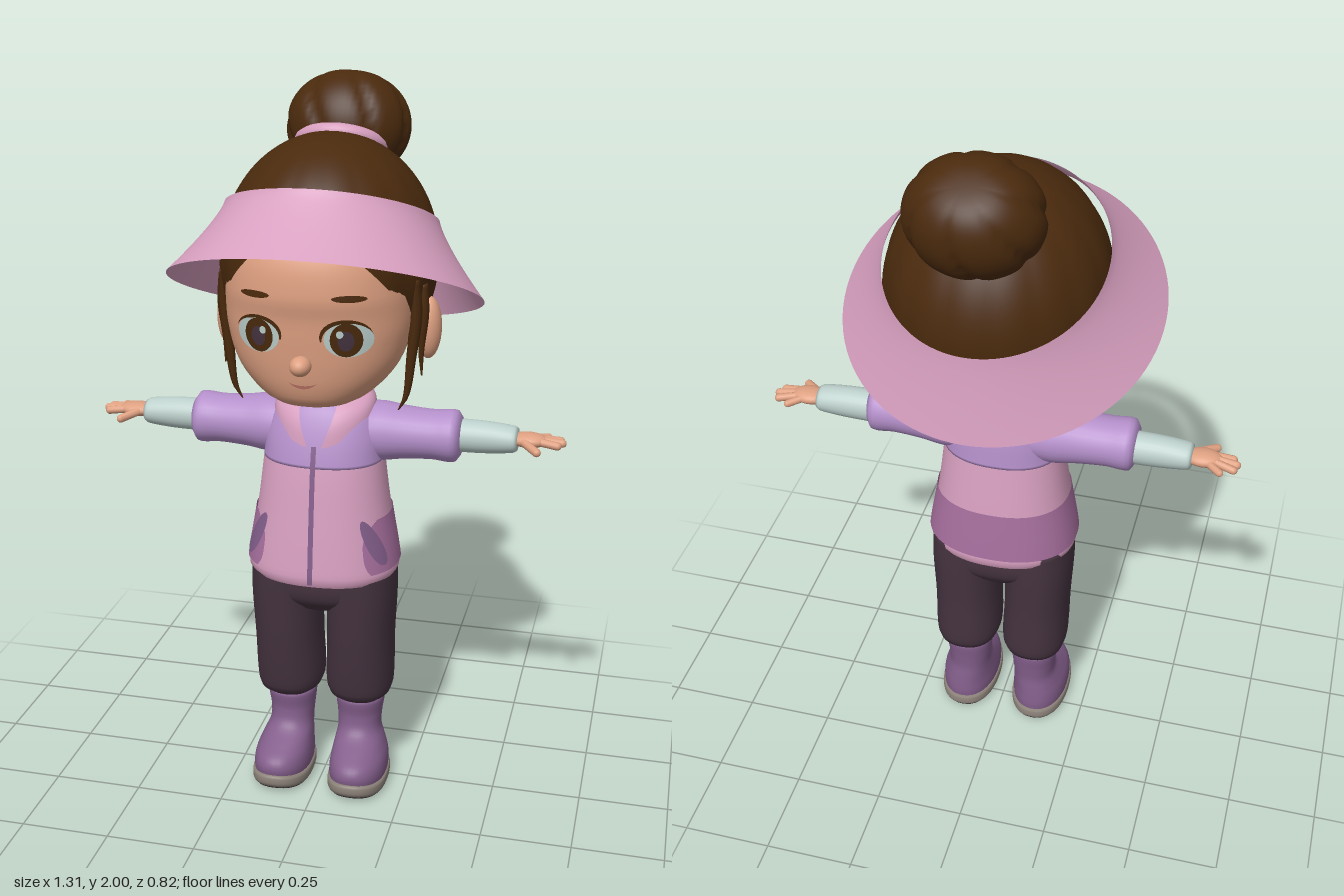
import * as THREE from 'three';
import { mergeVertices } from 'three/addons/utils/BufferGeometryUtils.js';

const { sin, cos, PI, abs, sign, min, max, pow } = Math;

function material(name, color, side = THREE.FrontSide) {
  const m = new THREE.MeshStandardMaterial({ color, side });
  m.name = name;
  return m;
}

// Smooth surface from a rule f(u, v, row) -> [x, y, z]; u runs right and v runs up.
function grid(nu, nv, f) {
  const pos = [], idx = [];
  for (let j = 0; j <= nv; j++)
    for (let i = 0; i <= nu; i++) pos.push(...f(i / nu, j / nv, j));
  for (let j = 0; j < nv; j++)
    for (let i = 0; i < nu; i++) {
      const a = j * (nu + 1) + i, b = a + 1, c = a + nu + 1, d = c + 1;
      idx.push(a, b, d, a, d, c);
    }
  let g = new THREE.BufferGeometry();
  g.setAttribute('position', new THREE.Float32BufferAttribute(pos, 3));
  g.setIndex(idx);
  g = mergeVertices(g, 1e-5);
  g.computeVertexNormals();
  return g;
}

// Smooth interpolation of table rows keyed by their first number.
function interp(rows, t) {
  const n = rows.length - 1;
  t = min(max(t, rows[0][0]), rows[n][0]);
  let i = 0;
  while (i < n - 1 && t > rows[i + 1][0]) i++;
  const h = rows[i + 1][0] - rows[i][0], s = (t - rows[i][0]) / h;
  const slope = (k, c) => {
    const p = rows[max(k - 1, 0)], q = rows[min(k + 1, n)];
    return (q[c] - p[c]) / (q[0] - p[0]);
  };
  return rows[0].map((_, c) => c === 0 ? t :
    rows[i][c] * (1 + 2 * s) * (1 - s) ** 2 + rows[i + 1][c] * s * s * (3 - 2 * s) +
    h * (slope(i, c) * s * (1 - s) ** 2 + slope(i + 1, c) * s * s * (s - 1)));
}

// Point on a cross-section row [y, halfWidth, frontZ, backZ, centreX]; angle 0 is the front.
function section([y, w, f, b, cx = 0], a, grow, n) {
  const zc = (f + b) / 2, p = (v) => sign(v) * pow(abs(v), 2 / n);
  return [cx + (w + grow) * p(sin(a)), y, zc + ((f - b) / 2 + grow) * p(cos(a))];
}

function loft(rows, { n = 2, seg = 40, rings = 24, grow = 0, y0 = rows[0][0], y1 = rows.at(-1)[0], caps = true } = {}) {
  const nv = rings + 2;
  return grid(seg, nv, (u, v, k) => {
    const r = interp(rows, y0 + (y1 - y0) * min(max((k - 1) / rings, 0), 1));
    if (caps && (k === 0 || k === nv)) return [r[4] ?? 0, r[0], (r[2] + r[3]) / 2];
    return section(r, u * 2 * PI, grow, n);
  });
}

function onFront(rows, x, y, grow, n) {
  const r = interp(rows, y);
  const s = pow(min(1, abs(x) / (r[1] + grow)), n / 2);
  return section(r, Math.asin(s) * sign(x), grow, n);
}

// Thin oval laid on the front of a lofted body.
const oval = (rows, n, x, y, rx, ry, grow, lean = 0) => grid(28, 5, (u, v) => {
  const dx = cos(u * 2 * PI) * rx * (1 - v), dy = sin(u * 2 * PI) * ry * (1 - v);
  return onFront(rows, x + dx + lean * dy, y + dy, grow, n);
});

function mirrored(geo) {
  const g = geo.clone().scale(-1, 1, 1), ix = g.index.array;
  for (let i = 0; i < ix.length; i += 3) [ix[i], ix[i + 1]] = [ix[i + 1], ix[i]];
  g.computeVertexNormals();
  return g;
}

const ball = (x, y, z, rx, ry, rz) => new THREE.SphereGeometry(1, 24, 16).scale(rx, ry, rz).translate(x, y, z);

const FACE = [[1.183, .05, .17, .03], [1.2, .115, .215, -.02], [1.24, .172, .24, -.08], [1.3, .218, .254, -.12],
  [1.38, .243, .263, -.15], [1.44, .25, .268, -.17], [1.5, .25, .278, -.2], [1.6, .235, .26, -.22], [1.7, .18, .19, -.2]];
const JACKET = [[.665, .2, .175, -.15], [.68, .21, .182, -.157], [.72, .207, .18, -.155], [.85, .185, .166, -.142],
  [1, .166, .146, -.124], [1.08, .158, .126, -.115], [1.14, .13, .1, -.1], [1.175, .08, .07, -.08]];

export function createModel() {
  const root = new THREE.Group();
  root.name = 'girl';
  const D = THREE.DoubleSide;
  const skin = material('skin', 0xdea081), hair = material('hair brown', 0x4a2a0d, D), pink = material('pink', 0xd8a0c0, D),
    lavender = material('lavender', 0xb590cb, D), orchid = material('orchid', 0xa8709f, D), purple = material('boot purple', 0x845f8c),
    plum = material('dark plum', 0x45333f), sole = material('sole grey', 0x8f857c), pale = material('pale teal', 0xbccfcb),
    lip = material('lip', 0xbd7466);

  const add = (name, geo, mat) => {
    const m = new THREE.Mesh(geo, mat);
    m.name = name;
    root.add(m);
  };
  const both = (name, geo, mat) => {
    add(name + 'Left', geo, mat);
    add(name + 'Right', mirrored(geo), mat);
  };

  // Head and face
  add('head', loft(FACE, { n: 2.2, seg: 56, rings: 36 }), skin);
  add('nose', ball(0, 1.325, .272, .028, .026, .034), skin);
  both('ear', ball(.275, 1.365, -.025, .035, .085, .042).rotateZ(0), skin);
  const mark = (...p) => oval(FACE, 2.2, ...p);
  both('eyeWhite', mark(.118, 1.395, .06, .047, .003), pale);
  both('iris', mark(.114, 1.395, .04, .045, .006), hair);
  both('pupil', mark(.114, 1.393, .02, .026, .009), plum);
  both('eyeGlint', mark(.1, 1.412, .009, .01, .012), pale);
  both('brow', mark(.122, 1.503, .042, .009, .004, -.5), hair);
  both('lash', grid(16, 2, (u, v) => {
    const a = PI * (1.02 - u), r = 1 + v * .22 * sin(PI * min(1, u + .1));
    return onFront(FACE, .118 + .063 * r * cos(a), 1.395 + .046 * r * sin(a), .01, 2.2);
  }), hair);
  add('mouth', grid(14, 2, (u, v) => {
    const t = u * 2 - 1;
    return onFront(FACE, t * .038, 1.262 + .012 * t * t + (v - .5) * .009 * (1 - t * t), .004, 2.2);
  }), lip);

  // Hair cap: the lower edge rises over the forehead and closes under the back
  const hairline = [[0, .37], [29, .45], [50, .55], [68, .63], [92, .65], [108, .85], [125, 1], [180, 1]];
  add('hairCap', grid(120, 36, (u, v) => {
    const deg = u * 360, a = u * 2 * PI;
    const th = PI * min(1, interp(hairline, min(deg, 360 - deg))[1]) * (1 - v);
    const r = 1 + .012 * abs(cos(a * 8)) * sin(th) - .006, s = sin(th) * r;
    return [.29 * s * sin(a), 1.54 + .325 * cos(th), -.05 + (cos(a) > 0 ? .33 : .31) * s * cos(a)];
  }), hair);
  both('longStrand', loft([[1.16, .002, .072, .068, .215], [1.2, .008, .08, .064, .235], [1.3, .013, .088, .06, .247],
    [1.42, .016, .095, .055, .258], [1.52, .012, .1, .06, .255]], { seg: 10 }), hair);
  both('shortStrand', loft([[1.25, .002, .042, .038, .27], [1.32, .008, .05, .034, .268], [1.42, .012, .06, .03, .275],
    [1.5, .01, .06, .03, .272]], { seg: 10 }), hair);

  // Lobed bun and its tie
  const bun = grid(72, 32, (u, v) => {
    const a = u * 2 * PI, th = PI * (1 - v);
    const r = 1 - .09 * pow(1 - abs(cos(a * 3.5 + 1.2 * cos(th))), 3) * sin(th);
    return [.172 * r * sin(th) * sin(a), .15 * cos(th) * (1 - .08 * pow(abs(cos(th)), 8)), .148 * r * sin(th) * cos(a)];
  });
  add('bun', bun.rotateX(-.56).translate(0, 1.852, -.263), hair);
  add('bunTie', new THREE.TorusGeometry(.092, .024, 12, 40).scale(1.1, 1, 1).rotateX(-PI / 2 - .56).translate(0, 1.81, -.168), pink);

  // Sun visor: flared ring from the head out to the brim
  add('visor', grid(96, 14, (u, v) => {
    const a = u * 2 * PI, k = pow(1 - v, 1.3), mix = (i, o) => i + (o - i) * k, c = cos(a);
    return [mix(.285, .422) * sin(a), 1.457 + .172 * c + v * (.188 - .052 * c), mix(-.075 + .29 * c, .005 + .4 * c)];
  }), pink);

  // Neck and jacket
  add('neck', loft([[1.1, .062, .06, -.07], [1.26, .062, .06, -.07]], { rings: 4 }), skin);
  add('undershirtCollar', loft([[1.05, .08, .1, -.07], [1.12, .075, .085, -.075], [1.18, .07, .07, -.078]], { rings: 8 }), lavender);
  add('jacketBody', loft(JACKET, { n: 2.3, seg: 64, y1: 1, caps: false }), pink);
  add('jacketYoke', loft(JACKET, { n: 2.3, seg: 64, y0: 1 }), lavender);
  add('lowerBand', grid(64, 12, (u, v) => {
    const a0 = (40 + 12 * pow(abs(2 * v - .8), 3)) * PI / 180;
    return section(interp(JACKET, .7 + .15 * v), a0 + (2 * PI - 2 * a0) * u, .004, 2.3);
  }), orchid);
  both('pocket', oval(JACKET, 2.3, .163, .79, .018, .068, .009, -.42), purple);
  add('zipper', grid(2, 24, (u, v) => onFront(JACKET, (u - .5) * .014, .675 + .385 * v, .005, 2.3)), purple);
  add('collar', grid(56, 6, (u, v) => {
    const a0 = (8 + 22 * v) * PI / 180, a = a0 + (2 * PI - 2 * a0) * u, c = cos(a), f = max(0, c) ** 2;
    const low = [.14 * sin(a), 1.13 - .075 * f, -.002 + .14 * c], top = [.1 * sin(a), 1.188 - .02 * c, -.01 + .097 * c];
    const bulge = .012 * sin(PI * v);
    return low.map((p, i) => p + (top[i] - p) * v + bulge * [sin(a), .6, c][i]);
  }), pink);

  // Arms: sections run outward along x
  const limb = (rows, z) => loft(rows.map(([t, ry, rz]) => [t, ry, rz, -rz]), { seg: 28 }).rotateZ(-PI / 2).translate(0, 1.07, z);
  both('jacketSleeve', limb([[.08, .07, .085], [.15, .082, .085], [.22, .073, .077], [.3, .068, .072], [.345, .072, .074],
    [.365, .068, .07], [.374, .052, .054]], -.012), lavender);
  both('shirtSleeve', limb([[.34, .046, .046], [.44, .044, .044], [.515, .036, .041], [.525, .03, .036]], -.022), pale);
  both('palm', ball(.553, 1.072, -.022, .052, .02, .036), skin);
  const finger = (x0, z0, x1, z1, r, y1) => {
    const a = new THREE.Vector3(x0, 1.073, z0), b = new THREE.Vector3(x1, y1, z1), d = b.clone().sub(a);
    const g = new THREE.CapsuleGeometry(r, d.length(), 6, 12);
    g.applyQuaternion(new THREE.Quaternion().setFromUnitVectors(new THREE.Vector3(0, 1, 0), d.normalize()));
    return g.translate(...a.add(b).multiplyScalar(.5).toArray());
  };
  [[.565, -.042, .603, -.07, .0105, 1.066], [.58, -.034, .637, -.05, .011, 1.066], [.585, -.022, .643, -.027, .0115, 1.067],
    [.58, -.008, .632, -.004, .011, 1.066], [.54, 0, .582, .042, .0115, 1.06]]
    .forEach((p, i) => both(i === 4 ? 'thumb' : 'finger' + (i + 1), finger(...p), skin));

  // Trousers
  add('hips', loft([[.56, .1, .1, -.1], [.6, .19, .135, -.125], [.66, .196, .145, -.13], [.72, .18, .14, -.125]], { n: 2.4 }), plum);
  both('trouserLeg', loft([[.262, .066, .07, -.085, .103], [.276, .085, .092, -.11, .103], [.31, .095, .104, -.12, .102],
    [.45, .094, .125, -.122, .105], [.6, .097, .14, -.128, .108], [.7, .097, .148, -.13, .105]], { n: 2.3 }), plum);
  both('ankle', loft([[.2, .055, .045, -.075, .103], [.3, .055, .045, -.075, .103]], { rings: 4 }), skin);

  // Boots, with the toe curled up a little
  const curl = (g) => {
    const p = g.attributes.position;
    for (let i = 0; i < p.count; i++)
      if (p.getY(i) < .2) p.setY(i, p.getY(i) + 1.5 * max(0, p.getZ(i) - .08) ** 2);
    g.computeVertexNormals();
    return g;
  };
  both('boot', curl(loft([[.03, .08, .182, -.088, .112], [.06, .082, .187, -.09, .112], [.09, .079, .172, -.088, .111],
    [.12, .071, .13, -.085, .107], [.155, .062, .072, -.081, .102], [.2, .064, .057, -.084, .101],
    [.255, .07, .064, -.09, .102], [.264, .064, .058, -.084, .102]], { n: 2.2, rings: 32 })), purple);
  const SOLE = [[.004, .08, .184, -.088, .112], [.012, .085, .192, -.094, .112], [.036, .085, .193, -.094, .112], [.042, .08, .186, -.09, .112]];
  both('bootSole', curl(loft(SOLE, { n: 2.3, rings: 8 })), sole);
  both('soleTread', curl(loft([[0, .077, .18, -.086, .112], [.008, .08, .184, -.089, .112]], { n: 2.3, rings: 2 })), plum);

  return root;
}
